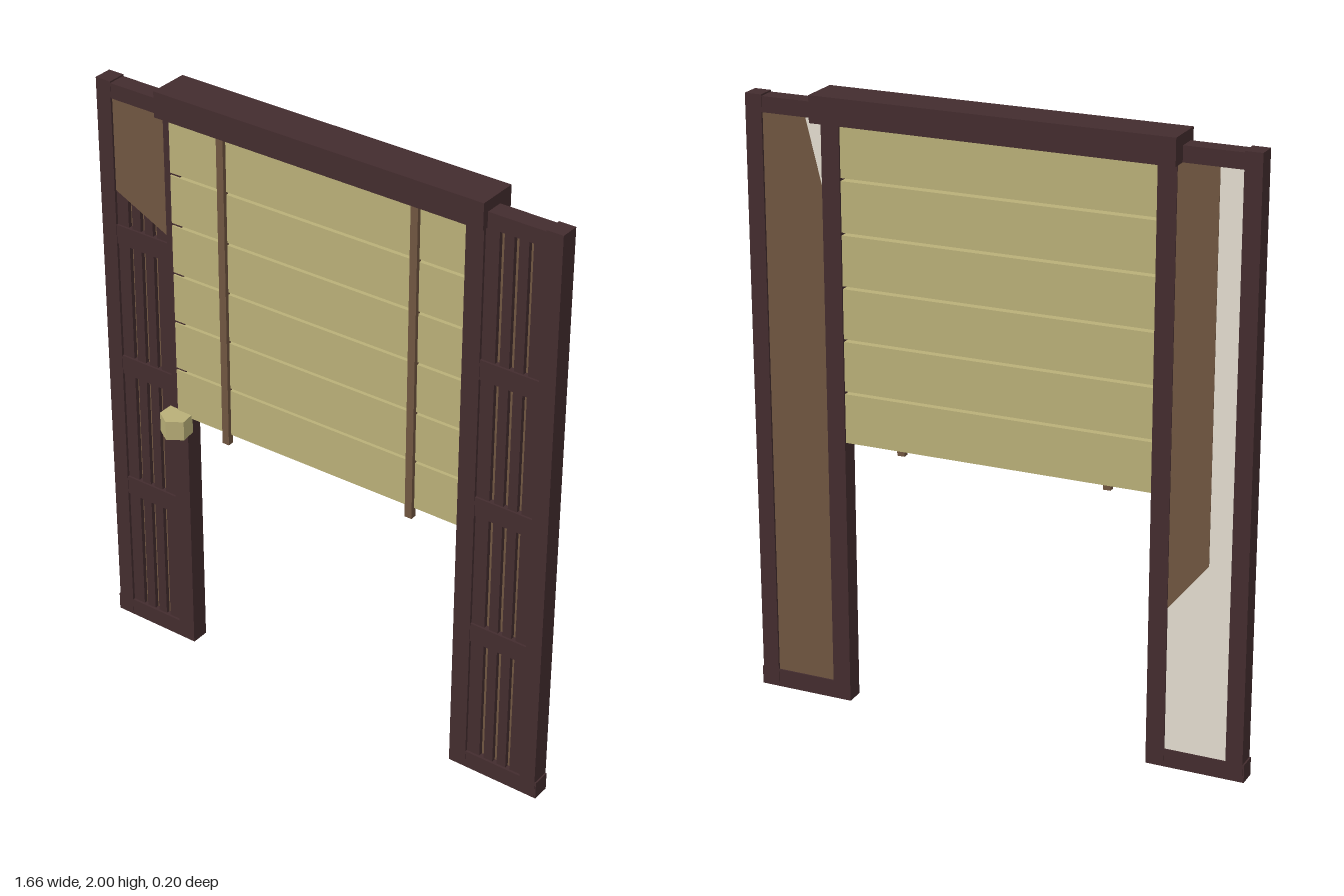
import * as THREE from 'three';

const mat = (name, color) => {
  const m = new THREE.MeshStandardMaterial({ color });
  m.name = name;
  return m;
};

export function createModel() {
  const darkWood = mat('darkWood', 0x432c2e);
  const brown = mat('brownSheet', 0x6f5540);
  const tan = mat('tanPlank', 0xb9af78);
  const grey = mat('greySheet', 0xe3dccf);
  const model = new THREE.Group();
  model.name = 'shutterGate';

  // Box given by its limits on each axis
  const box = (parent, name, material, [x0, x1], [y0, y1], [z0, z1]) => {
    const mesh = new THREE.Mesh(new THREE.BoxGeometry(x1 - x0, y1 - y0, z1 - z0), material);
    mesh.position.set((x0 + x1) / 2, (y0 + y1) / 2, (z0 + z1) / 2);
    mesh.name = name;
    parent.add(mesh);
  };
  // Thin upright plate with a polygon outline, z being its back face
  const plate = (name, material, points, z) => {
    const shape = new THREE.Shape(points.map(p => new THREE.Vector2(...p)));
    const mesh = new THREE.Mesh(new THREE.ExtrudeGeometry(shape, { depth: 0.002, bevelEnabled: false }), material);
    mesh.position.z = z;
    mesh.name = name;
    model.add(mesh);
  };

  // Side panels: posts, rails, slats and backing
  for (const side of [-1, 1]) {
    const panel = new THREE.Group();
    panel.name = side < 0 ? 'rightPanel' : 'leftPanel';
    model.add(panel);
    const span = (a, b) => (side > 0 ? [a, b] : [-b, -a]);
    box(panel, 'innerPost', darkWood, span(0.51, 0.57), [0.005, 1.93], [-0.046, 0.016]);
    box(panel, 'outerPost', darkWood, span(0.77, 0.825), [0.005, 1.97], [-0.047, 0.016]);
    box(panel, 'bottomRail', darkWood, span(0.51, 0.83), [0, 0.06], [-0.045, 0.015]);
    box(panel, 'topRail', darkWood, span(0.51, 0.825), [1.915, 1.965], [-0.045, 0.015]);
    for (const y of [0.49, 0.95, 1.42]) {
      box(panel, 'middleRail', darkWood, span(0.56, 0.78), [y, y + 0.065], [-0.008, 0.014]);
    }
    for (const [a, b] of [[0.565, 0.616], [0.632, 0.664], [0.68, 0.712], [0.727, 0.775]]) {
      box(panel, 'slat', darkWood, span(a, b), [0.05, 1.92], [-0.008, 0.007]);
    }
    box(panel, 'backingSheet', brown, span(0.565, 0.775), [0.05, 1.92], [-0.04, -0.007]);
  }

  // Sheet coming through in front of the slats
  plate('frontSheet', brown, [[-0.775, 1.605], [-0.565, 1.505], [-0.565, 1.92], [-0.775, 1.92]], 0.007);
  // Pale sheets seen at the back, one partly covered in brown
  plate('rearSheet', grey, [[-0.775, 0.05], [-0.565, 0.05], [-0.565, 1.92], [-0.775, 1.92]], -0.0415);
  plate('rearCover', brown, [[-0.698, 0.69], [-0.565, 0.525], [-0.565, 1.92], [-0.698, 1.92]], -0.043);
  plate('rearCorner', grey, [[0.565, 1.68], [0.625, 1.92], [0.565, 1.92]], -0.0415);

  // Header beam
  box(model, 'header', darkWood, [-0.585, 0.58], [1.915, 2], [-0.1, 0.037]);

  // Raised shutter, turned very slightly
  const shutter = new THREE.Group();
  shutter.name = 'shutter';
  shutter.rotation.y = 0.011;
  model.add(shutter);
  for (let i = 0; i < 6; i++) {
    const y = 0.888 + i * 0.1702;
    const height = i < 5 ? 0.161 : 0.18; // the top plank runs into the header
    box(shutter, 'plank', tan, [-0.543, 0.515], [y, y + height], [-0.034, 0.016]);
  }
  for (const x of [-0.345, 0.342]) {
    box(shutter, 'batten', brown, [x - 0.0125, x + 0.0125], [0.855, 1.92], [0.008, 0.029]);
  }

  // Five-sided latch block, outline in x and z
  const outline = [[-0.578, -0.015], [-0.49, -0.015], [-0.483, -0.068], [-0.53, -0.1], [-0.578, -0.068]];
  const latchShape = new THREE.Shape(outline.map(p => new THREE.Vector2(...p)));
  const latch = new THREE.Mesh(new THREE.ExtrudeGeometry(latchShape, { depth: 0.067, bevelEnabled: false }), tan);
  latch.rotation.x = -Math.PI / 2;
  latch.position.y = 0.834;
  latch.name = 'latch';
  model.add(latch);

  return model;
}
